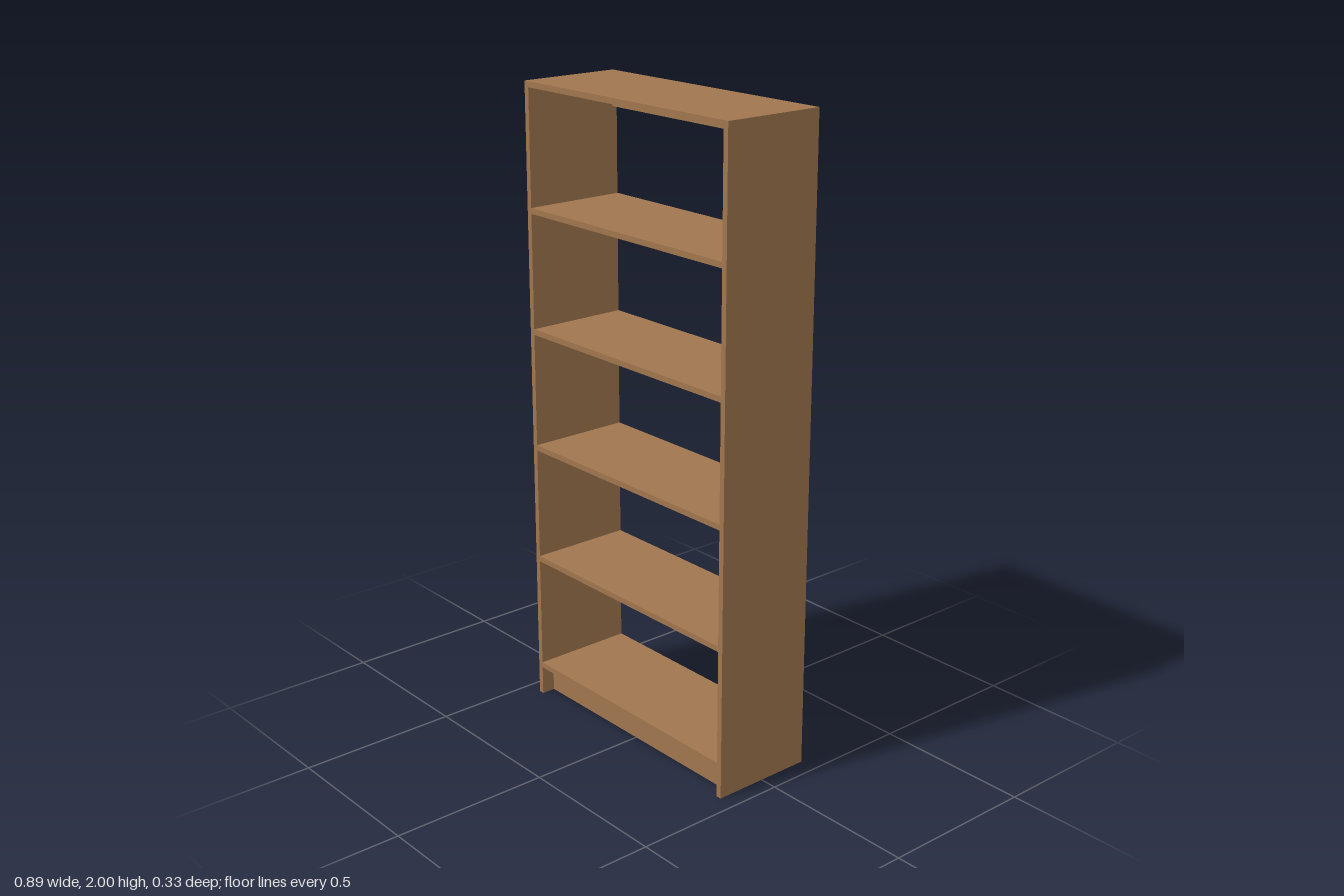
import * as THREE from 'three';

export function createModel() {
  const W = 0.888, H = 2, D = 0.332, T = 0.0178;
  const inner = W - 2 * T;
  const wood = new THREE.MeshStandardMaterial({ color: 0xa0764e });
  wood.name = 'wood';

  const model = new THREE.Group();
  model.name = 'bookcase';

  const board = (name, w, h, d, x, y, z) => {
    const mesh = new THREE.Mesh(new THREE.BoxGeometry(w, h, d), wood);
    mesh.name = name;
    mesh.position.set(x, y, z);
    model.add(mesh);
  };

  // Upright side panels
  for (const s of [-1, 1]) {
    board(s > 0 ? 'leftSide' : 'rightSide', T, H, D, s * (W - T) / 2, H / 2, 0);
  }

  // Bottom shelf, four middle shelves and the top, evenly spaced
  const bottomY = 0.103, topY = H - T / 2, count = 5;
  for (let i = 0; i <= count; i++) {
    const y = bottomY + (topY - bottomY) * i / count;
    board(i === count ? 'topPanel' : `shelf${i + 1}`, inner, T, D, 0, y, 0);
  }

  // Recessed kick board under the bottom shelf
  const kickH = bottomY - T / 2;
  board('kickBoard', inner, kickH, T, 0, kickH / 2, D / 2 - 0.044 - T / 2);

  // Back rail under the top, flush with the rear
  const railH = 0.089;
  board('backRail', inner, railH, T, 0, H - T - railH / 2, -D / 2 + T / 2);

  return model;
}
